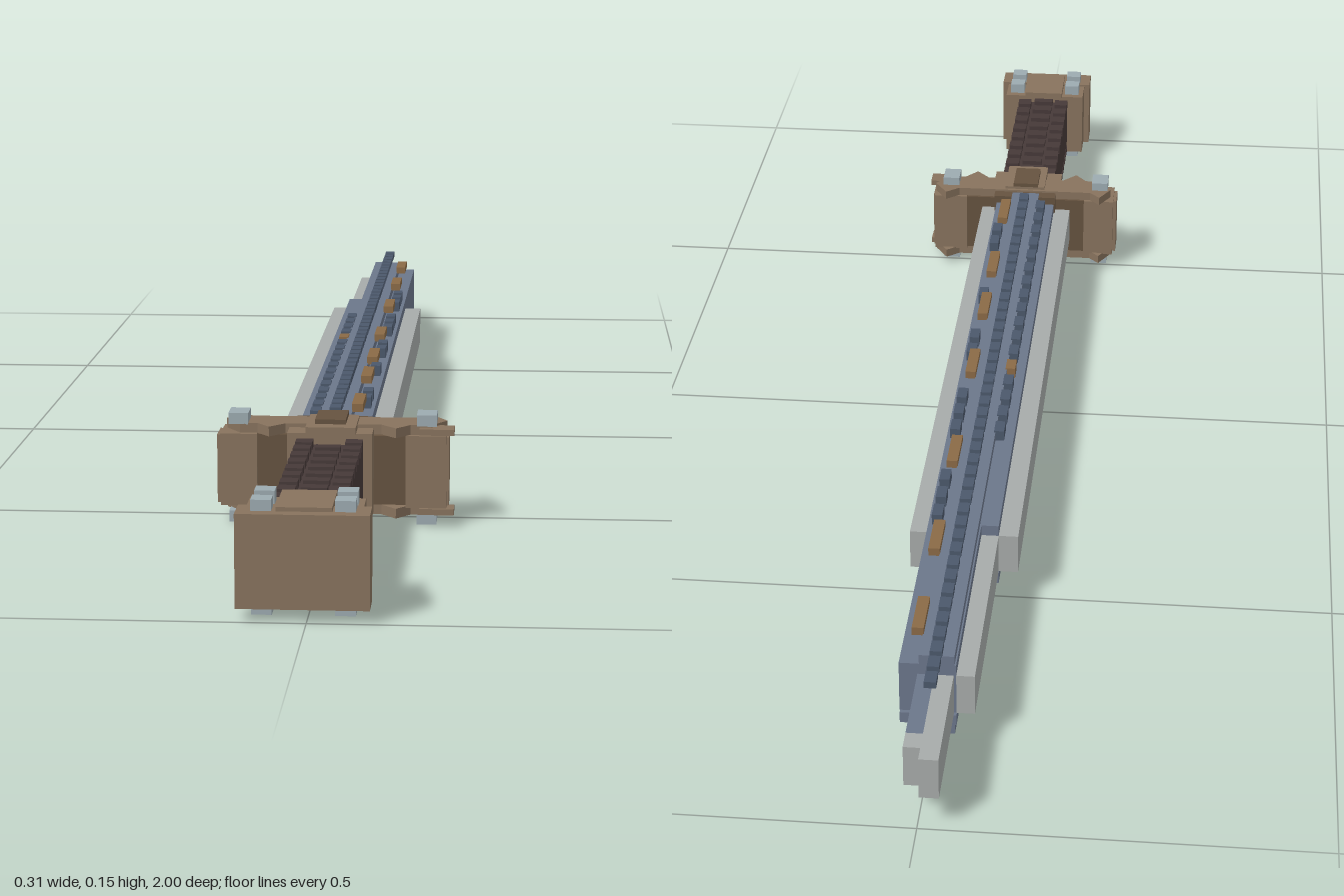
import * as THREE from 'three';

const mat = (name, color) => Object.assign(new THREE.MeshStandardMaterial({ color }), { name });

export function createModel() {
  const bronze = mat('bronze', 0x87725d);
  const darkBronze = mat('dark bronze', 0x65523f);
  const steel = mat('steel', 0xa6aaa9);
  const stud = mat('stud silver', 0x9caab0);
  const blue = mat('blue steel', 0x6b768a);
  const darkBlue = mat('dark blue steel', 0x4b586b);
  const copper = mat('copper', 0x8a6a46);
  const leather = mat('dark leather', 0x463938);

  const sword = new THREE.Group();
  sword.name = 'sword';
  const part = (name) => {
    const g = new THREE.Group();
    g.name = name;
    sword.add(g);
    return g;
  };
  // Box given by its limits on each axis
  const box = (parent, name, material, x0, x1, y0, y1, z0, z1) => {
    const m = new THREE.Mesh(new THREE.BoxGeometry(x1 - x0, y1 - y0, z1 - z0), material);
    m.position.set((x0 + x1) / 2, (y0 + y1) / 2, (z0 + z1) / 2);
    m.name = name;
    parent.add(m);
    return m;
  };
  // The same box above and below the middle plane of the sword
  const MID = 0.075;
  const pair = (parent, name, material, x0, x1, h0, h1, z0, z1) => {
    box(parent, name + 'Top', material, x0, x1, MID + h0, MID + h1, z0, z1);
    box(parent, name + 'Bottom', material, x0, x1, MID - h1, MID - h0, z0, z1);
  };
  // Flat plate with a polygon outline in x and z, above and below
  const platePair = (parent, name, material, points, h0, h1) => {
    const shape = new THREE.Shape(points.map(([x, z]) => new THREE.Vector2(x, -z)));
    const geo = new THREE.ExtrudeGeometry(shape, { depth: h1 - h0, bevelEnabled: false });
    geo.rotateX(-Math.PI / 2);
    for (const [suffix, y] of [['Top', MID + h0], ['Bottom', MID - h1]]) {
      const m = new THREE.Mesh(geo, material);
      m.position.y = y;
      m.name = name + suffix;
      parent.add(m);
    }
  };

  // Blade: stepped core, cutting edges and narrow tip
  const blade = part('blade');
  const E0 = 0.049, E1 = 0.105;
  box(blade, 'bladeCore', blue, -0.030, 0.041, E0, E1, -0.83, 0.5);
  box(blade, 'leftEdgeInner', steel, -0.053, -0.030, E0, E1, -0.83, 0.5);
  box(blade, 'leftEdgeOuter', steel, -0.079, -0.053, E0, E1, -0.51, 0.49);
  box(blade, 'rightEdgeOuter', steel, 0.041, 0.066, E0, E1, -0.51, 0.49);
  pair(blade, 'bladeStep', blue, -0.053, 0.041, 0.03, 0.045, -0.51, 0.49);
  pair(blade, 'bladeStepFar', blue, -0.030, 0.041, 0.03, 0.045, -0.83, -0.51);
  pair(blade, 'bladeRidge', blue, -0.028, 0.016, 0.045, 0.058, -0.83, 0.49);
  box(blade, 'tipSteel', steel, -0.027, -0.003, E0, E1, -1, -0.83);
  box(blade, 'tipBlue', blue, -0.003, 0.018, E0, E1, -0.95, -0.83);
  box(blade, 'tipCorner', steel, -0.003, 0.018, E0, E1, -0.978, -0.95);

  // Dashed inlays along the blade, with copper marks among them
  const inlays = part('inlays');
  for (let z = 0.47; z > -0.89; z -= 0.032) {
    pair(inlays, 'centreDash', darkBlue, -0.013, 0.002, 0.058, 0.067, z - 0.023, z);
  }
  const copperRight = [0.41, 0.22, 0.08, -0.10, -0.35, -0.57, -0.75];
  copperRight.forEach((z) => {
    pair(inlays, 'copperMark', copper, 0.015, 0.03, 0.056, 0.067, z - 0.035, z + 0.035);
  });
  for (let z = 0.46; z > -0.52; z -= 0.045) {
    if (copperRight.every((c) => Math.abs(c - z + 0.014) > 0.05)) {
      pair(inlays, 'rightDash', darkBlue, 0.022, 0.036, 0.043, 0.06, z - 0.028, z);
    }
    if (z > -0.27) {
      const isCopper = Math.abs(z + 0.1) < 0.023;
      pair(inlays, 'leftDash', isCopper ? copper : darkBlue, -0.04, -0.026, 0.043, 0.06, z - 0.028, z);
    }
  }

  // Guard: core, end blocks, stepped plates and studs
  const guard = part('guard');
  box(guard, 'guardCore', darkBronze, -0.104, 0.094, 0.028, 0.12, 0.495, 0.54);
  box(guard, 'guardLeftBlock', bronze, -0.15, -0.102, 0.026, 0.122, 0.49, 0.548);
  box(guard, 'guardRightBlock', bronze, 0.092, 0.145, 0.026, 0.122, 0.49, 0.548);
  for (const [x0, x1] of [[-0.155, -0.15], [0.145, 0.148]]) {
    box(guard, 'guardEndPlate', bronze, x0, x1, 0.028, 0.119, 0.5, 0.54);
  }
  platePair(guard, 'guardPlate', bronze, [
    [-0.125, 0.54], [-0.102, 0.54], [-0.085, 0.562], [-0.065, 0.54],
    [0.06, 0.54], [0.08, 0.562], [0.098, 0.54], [0.125, 0.54],
    [0.145, 0.51], [0.125, 0.478], [0.105, 0.495],
    [-0.112, 0.495], [-0.128, 0.478], [-0.145, 0.51],
  ], 0.047, 0.06);
  pair(guard, 'guardTab', bronze, 0.11, 0.155, 0.049, 0.057, 0.525, 0.553);
  box(guard, 'guardSocket', bronze, -0.06, 0.05, 0.02, 0.13, 0.52, 0.575);
  box(guard, 'bladeCollar', darkBronze, -0.055, 0.045, 0.018, 0.132, 0.476, 0.5);
  pair(guard, 'centrePlate', bronze, -0.036, 0.029, 0.055, 0.064, 0.5, 0.58);
  pair(guard, 'centreBoss', darkBronze, -0.025, 0.015, 0.064, 0.07, 0.5, 0.56);
  for (const x of [-0.127, 0.119]) {
    pair(guard, 'guardStud', stud, x - 0.013, x + 0.013, 0.058, 0.073, 0.505, 0.54);
  }

  // Grip with rows of wrapping tabs
  const grip = part('grip');
  box(grip, 'gripCore', leather, -0.046, 0.038, 0.035, 0.115, 0.57, 0.91);
  for (let i = 0; i < 9; i++) {
    const z = 0.595 + i * 0.036;
    pair(grip, 'wrapLeft', leather, -0.047, -0.025, 0.038, 0.05, z - 0.011, z + 0.011);
    pair(grip, 'wrapRight', leather, 0.017, 0.039, 0.038, 0.05, z - 0.011, z + 0.011);
    pair(grip, 'wrapMiddle', leather, -0.02, 0.012, 0.038, 0.047, z + 0.008, z + 0.026);
  }

  // Pommel: two stepped blocks with studs
  const pommel = part('pommel');
  box(pommel, 'pommelCap', bronze, -0.082, 0.073, 0.018, 0.13, 0.955, 1);
  box(pommel, 'pommelNeck', bronze, -0.073, 0.063, 0.021, 0.127, 0.905, 0.955);
  pair(pommel, 'pommelPlate', bronze, -0.036, 0.029, 0.05, 0.06, 0.9, 0.985);
  for (const x of [-0.053, 0.044]) {
    for (const z of [0.928, 0.972]) {
      pair(pommel, 'pommelStud', stud, x - 0.012, x + 0.012, 0.05, 0.068, z - 0.012, z + 0.012);
    }
  }

  return sword;
}
